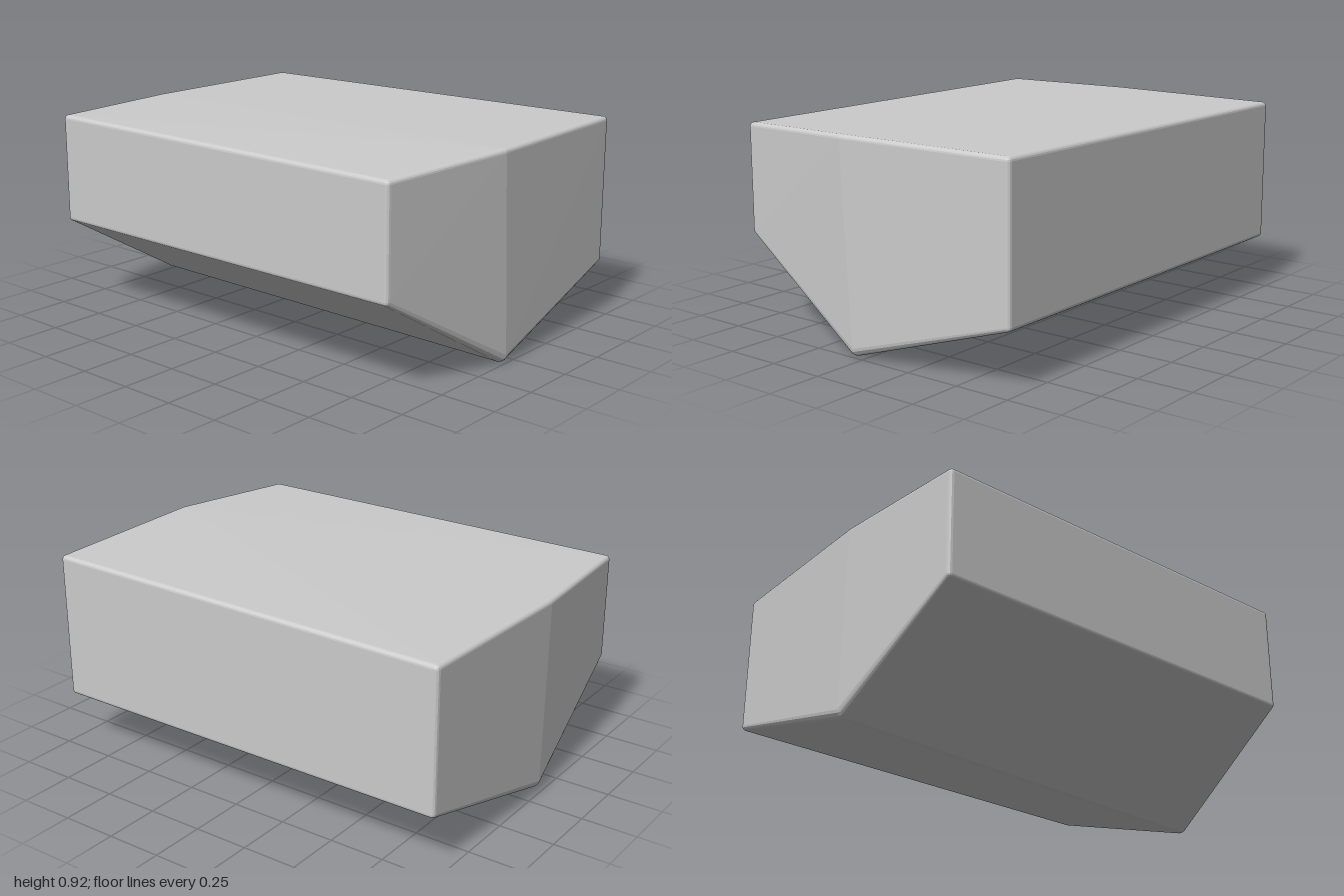
import * as THREE from 'three';
import { ConvexGeometry } from 'three/addons/geometries/ConvexGeometry.js';

// Centres of the rounded corners [x, y, z, radius]
const R = 0.018, K = 0.036;
const corners = [
  // front end
  [-0.937, 0.873, 0.717, R], [0.892, 0.873, 0.717, R],
  [-0.937, 0.416, 0.717, R], [0.892, 0.416, 0.717, R],
  // widest section, with the keel ridge below
  [-0.982, 0.875, 0.10, R], [0.982, 0.897, 0.10, R],
  [-0.964, 0.061, 0.085, K], [0.964, 0.036, 0.055, K],
  // back end
  [-0.957, 0.876, -0.717, R], [0.953, 0.897, -0.717, R],
  [-0.957, 0.266, -0.717, R], [0.953, 0.266, -0.717, R],
];

// Points of a small ball, used to round a corner
function ball([x, y, z, r]) {
  const pts = [];
  const rings = 8, sides = 12;
  for (let i = 0; i <= rings; i++) {
    const a = (i / rings) * Math.PI;
    const n = i === 0 || i === rings ? 1 : sides;
    for (let j = 0; j < n; j++) {
      const b = (j / sides) * Math.PI * 2;
      pts.push(new THREE.Vector3(
        x + r * Math.sin(a) * Math.cos(b),
        y + r * Math.cos(a),
        z + r * Math.sin(a) * Math.sin(b)));
    }
  }
  return pts;
}

export function createModel() {
  const group = new THREE.Group();
  group.name = 'wedgeBlock';

  // Solid block wrapped around the rounded corners
  const body = new THREE.Mesh(
    new ConvexGeometry(corners.flatMap(ball)),
    new THREE.MeshStandardMaterial({ color: 0xcccccc }));
  body.name = 'body';
  group.add(body);
  return group;
}
